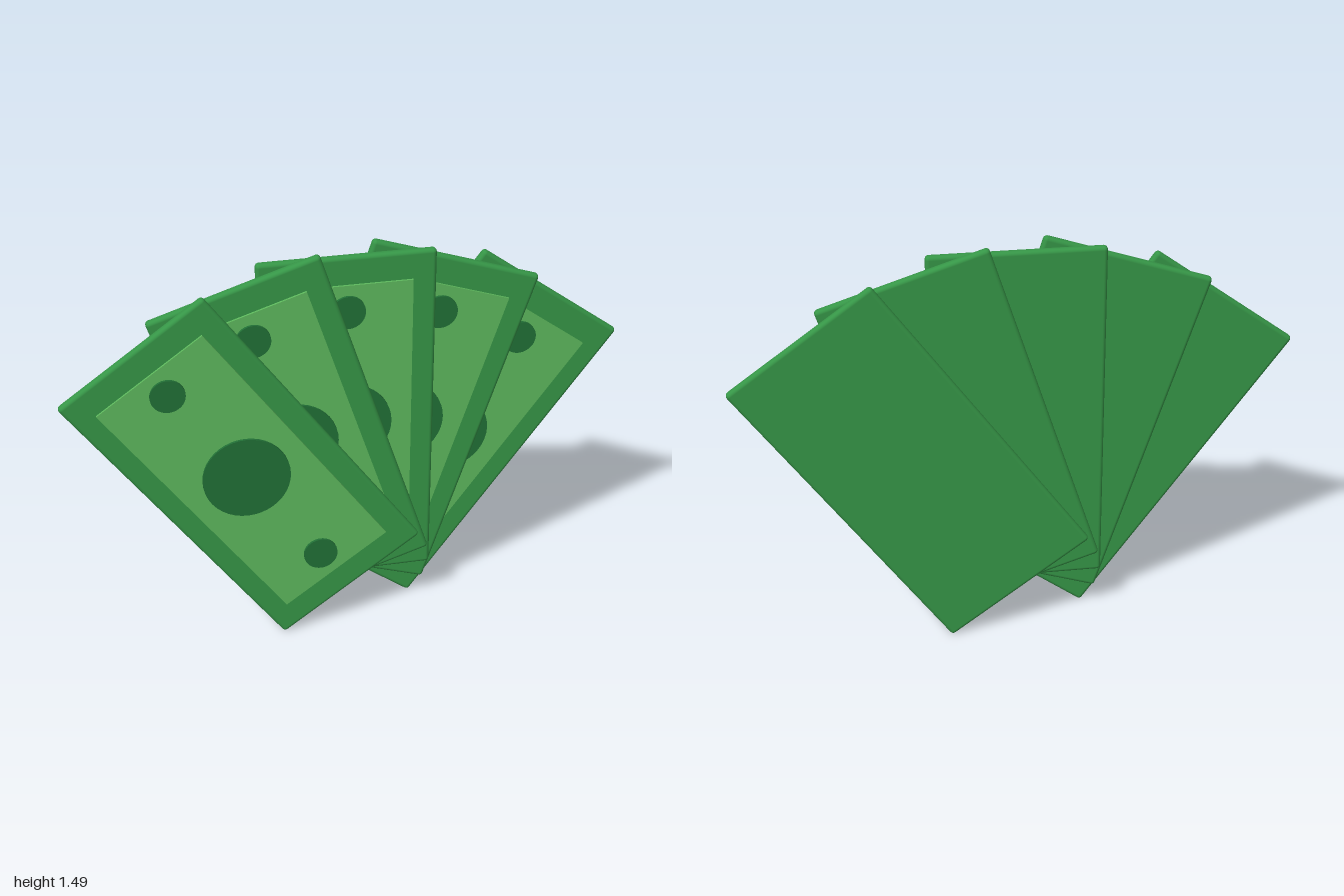
import * as THREE from 'three';
import { RoundedBoxGeometry } from 'three/addons/geometries/RoundedBoxGeometry.js';

const WIDTH = 0.622, LENGTH = 1.282, THICK = 0.033;
const PIVOT_Y = 0.177, STEP_ANGLE = Math.PI / 10, STEP_Z = 0.0407;

const material = (name, color) => new THREE.MeshStandardMaterial({ name, color });

export function createModel() {
  const border = material('border green', 0x369647);
  const panel = material('light green', 0x5eb95d);
  const dark = material('dark green', 0x217036);

  const noteGeometry = new RoundedBoxGeometry(WIDTH, LENGTH, THICK, 3, 0.014);
  const panelGeometry = new THREE.BoxGeometry(0.455, 1.077, 0.009);
  const disc = (radius) => new THREE.CylinderGeometry(radius, radius, 0.0098, 40).rotateX(Math.PI / 2);
  const largeDisc = disc(0.155), smallDisc = disc(0.061);

  // One banknote, with the middle of its bottom edge at the origin
  function createNote() {
    const note = new THREE.Group();
    const add = (name, geometry, mat, y, z) => {
      const mesh = new THREE.Mesh(geometry, mat);
      mesh.name = name;
      mesh.position.set(0, y, z);
      note.add(mesh);
    };
    const middle = LENGTH / 2, face = THICK / 2;
    add('noteBody', noteGeometry, border, middle, 0);
    add('notePanel', panelGeometry, panel, middle, face + 0.0035);
    add('centreDisc', largeDisc, dark, middle, face + 0.0125);
    add('upperDisc', smallDisc, dark, middle + 0.44, face + 0.0125);
    add('lowerDisc', smallDisc, dark, middle - 0.44, face + 0.0125);
    return note;
  }

  // Five notes fanned about a shared pivot, front note leaning to -x
  const model = new THREE.Group();
  model.name = 'banknoteFan';
  for (let i = -2; i <= 2; i++) {
    const note = createNote();
    note.name = 'banknote' + (i + 3);
    note.position.set(0, PIVOT_Y, -0.0085 - i * STEP_Z);
    note.rotation.z = -i * STEP_ANGLE;
    model.add(note);
  }
  return model;
}
